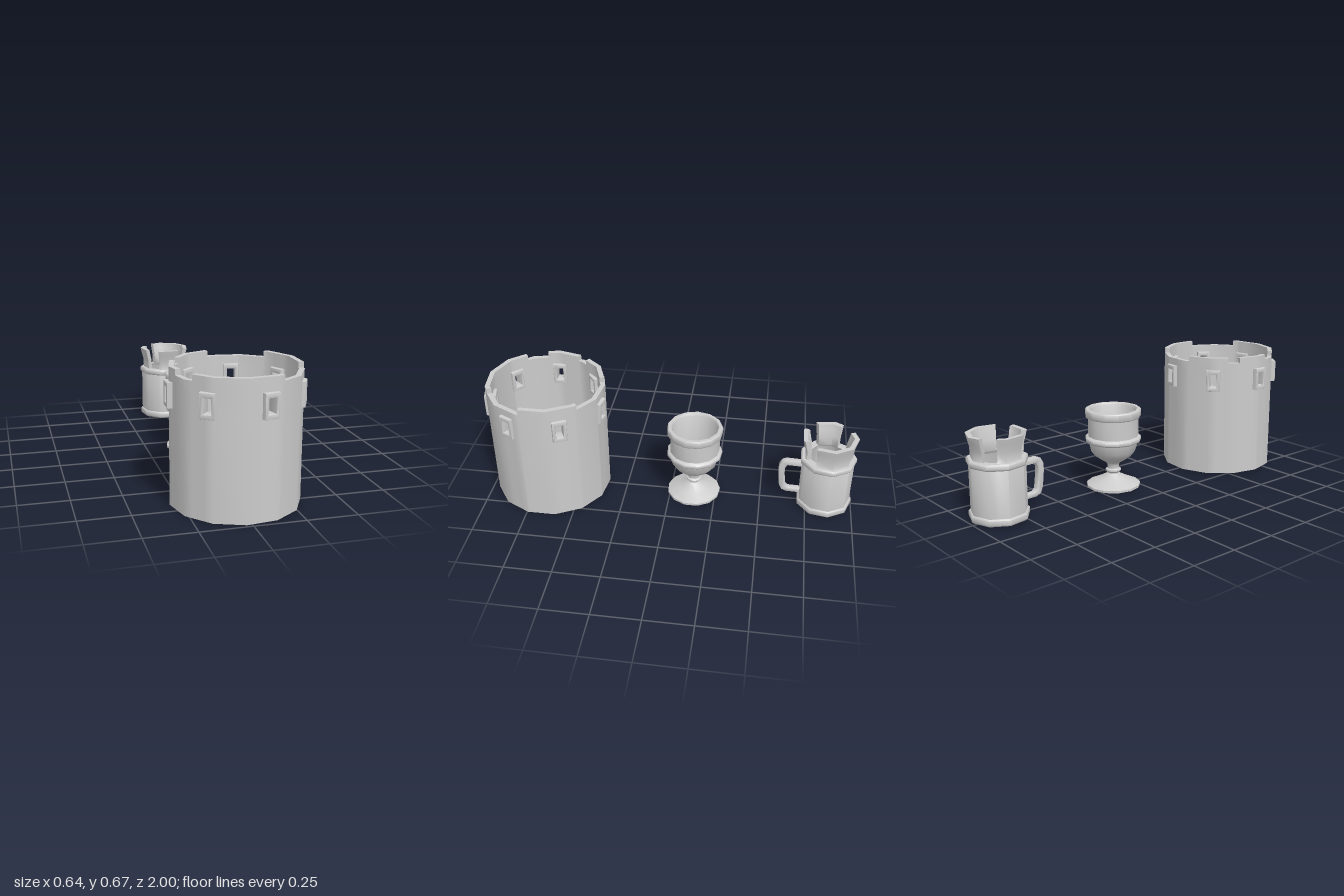
import * as THREE from 'three';
import { toCreasedNormals } from 'three/addons/utils/BufferGeometryUtils.js';

const material = new THREE.MeshStandardMaterial({ color: 0xcccccc, side: THREE.DoubleSide });
const RAD = Math.PI / 180;

function addMesh(parent, name, geometry, crease = 0.75) {
  const mesh = new THREE.Mesh(toCreasedNormals(geometry, crease), material);
  mesh.name = name;
  parent.add(mesh);
  return mesh;
}

// Angles run in degrees from +x towards +z.
const within = (deg, ranges) =>
  ranges.some(([a, b]) => (((deg - a) % 360) + 360) % 360 < b - a);

// Thick many-sided wall made of cells; cells that are not solid become openings.
function wallGeometry({ sides, start, cuts, heights, outer, thickness, solid }) {
  const step = 360 / sides;
  const all = [...cuts];
  for (let i = 0; i < sides; i++) all.push(start + i * step);
  const angles = all.map(a => ((a % 360) + 360) % 360).sort((a, b) => a - b)
    .filter((a, i, list) => i === 0 || a - list[i - 1] > 0.1);
  const n = angles.length;
  angles.push(angles[0] + 360);

  const point = (i, j, inset) => {
    const off = ((((angles[i] - start) % step) + step) % step) - step / 2;
    const r = (outer(heights[j]) - inset) * Math.cos(step / 2 * RAD) / Math.cos(off * RAD);
    return [r * Math.cos(angles[i] * RAD), heights[j], r * Math.sin(angles[i] * RAD)];
  };
  const filled = (i, j) => {
    if (j < 0 || j >= heights.length - 1) return false;
    const k = (i + n) % n;
    return solid((angles[k] + angles[k + 1]) / 2, (heights[j] + heights[j + 1]) / 2);
  };
  const positions = [];
  const quad = (a, b, c, d) => positions.push(...a, ...b, ...c, ...a, ...c, ...d);

  for (let i = 0; i < n; i++) {
    for (let j = 0; j < heights.length - 1; j++) {
      if (!filled(i, j)) continue;
      const [o00, o01, o11, o10] = [[0, 0], [0, 1], [1, 1], [1, 0]].map(([u, v]) => point(i + u, j + v, 0));
      const [i00, i01, i11, i10] = [[0, 0], [0, 1], [1, 1], [1, 0]].map(([u, v]) => point(i + u, j + v, thickness));
      quad(o00, o01, o11, o10);
      quad(i10, i11, i01, i00);
      if (!filled(i, j + 1)) quad(i01, i11, o11, o01);
      if (!filled(i, j - 1)) quad(o00, o10, i10, i00);
      if (!filled(i + 1, j)) quad(i10, o10, o11, i11);
      if (!filled(i - 1, j)) quad(i01, o01, o00, i00);
    }
  }
  const geometry = new THREE.BufferGeometry();
  geometry.setAttribute('position', new THREE.Float32BufferAttribute(positions, 3));
  return geometry;
}

function floorGeometry(radius, y0, y1, sides, start) {
  return new THREE.CylinderGeometry(radius, radius, y1 - y0, sides, 1, false, (90 - start) * RAD)
    .translate(0, (y0 + y1) / 2, 0);
}

function latheGeometry(profile, sides, start) {
  return new THREE.LatheGeometry(profile.map(p => new THREE.Vector2(...p)), sides, (90 - start) * RAD);
}

function rectangle(Type, w, h) {
  return new Type([[-w, -h], [w, -h], [w, h], [-w, h]].map(p => new THREE.Vector2(...p)));
}

function createTub() {
  const tub = new THREE.Group();
  tub.name = 'tub';
  const sides = 13, start = 180, radius = 0.316, thickness = 0.026;
  const raised = [[-45, 12], [64, 145], [168, 204], [216, 258]];
  const windows = Array.from({ length: 7 }, (_, i) => 180 + i * 360 / 7);
  const openings = windows.map(a => [a - 5, a + 5]);

  addMesh(tub, 'tubWall', wallGeometry({
    sides, start, thickness,
    cuts: [...raised, ...openings].flat(),
    heights: [0, 0.495, 0.58, 0.637, 0.665],
    outer: () => radius,
    solid: (a, y) => y > 0.637 ? within(a, raised) : !(y > 0.495 && y < 0.58 && within(a, openings)),
  }));
  addMesh(tub, 'tubFloor', floorGeometry(radius - thickness, 0, 0.03, sides, start));

  // Bevelled frames passing through the wall
  const bevel = 0.006;
  const shape = rectangle(THREE.Shape, 0.038 - bevel, 0.0595 - bevel);
  shape.holes.push(rectangle(THREE.Path, 0.019 + bevel, 0.036 + bevel));
  const frame = new THREE.ExtrudeGeometry(shape, {
    depth: 0.053, bevelSize: bevel, bevelThickness: bevel, bevelSegments: 2,
  }).translate(0, 0, 0.27);
  for (const a of windows) {
    const mesh = addMesh(tub, 'windowFrame', frame);
    mesh.position.set(-0.004, 0.538, 0);
    mesh.rotation.y = (90 - a) * RAD;
  }
  tub.position.set(0.011, 0, 0.67);
  return tub;
}

function createGoblet() {
  const goblet = new THREE.Group();
  goblet.name = 'goblet';
  // Foot, knotted stem, banded bowl, then down the inside
  addMesh(goblet, 'gobletBody', latheGeometry([
    [0, 0.008], [0.146, 0.008], [0.146, 0.02], [0.09, 0.045], [0.045, 0.068], [0.032, 0.08],
    [0.034, 0.086], [0.042, 0.092], [0.042, 0.1], [0.032, 0.107], [0.031, 0.125], [0.04, 0.14],
    [0.065, 0.155], [0.1, 0.18], [0.123, 0.21], [0.134, 0.255], [0.146, 0.26], [0.151, 0.266],
    [0.151, 0.28], [0.146, 0.286], [0.136, 0.291], [0.136, 0.39], [0.147, 0.394], [0.151, 0.4],
    [0.151, 0.431], [0.146, 0.437], [0.13, 0.437], [0.122, 0.425], [0.121, 0.27],
    [0.108, 0.22], [0.08, 0.19], [0.04, 0.175], [0, 0.17],
  ], 13, 180));
  goblet.position.set(0.007, 0, -0.13);
  return goblet;
}

function createMug() {
  const mug = new THREE.Group();
  mug.name = 'mug';
  const sides = 9, start = -90, thickness = 0.026;
  const raised = [[64, 116], [150, 210], [245, 390]];
  const profile = [[0.008, 0.142], [0.3, 0.142], [0.315, 0.13], [0.37, 0.133], [0.41, 0.144], [0.437, 0.15]];

  addMesh(mug, 'mugWall', wallGeometry({
    sides, start, thickness,
    cuts: raised.flat(),
    heights: profile.map(p => p[0]),
    outer: y => profile.find(p => p[0] === y)[1],
    solid: (a, y) => y < 0.315 || within(a, raised),
  }));
  addMesh(mug, 'mugFloor', floorGeometry(0.116, 0.008, 0.04, sides, start));

  // Rounded bands at the foot and below the rim
  for (const [name, y0, y1] of [['footBand', 0.008, 0.045], ['upperBand', 0.284, 0.317]]) {
    addMesh(mug, name, latheGeometry([
      [0.125, y0], [0.146, y0], [0.152, y0 + 0.007], [0.152, y1 - 0.007], [0.146, y1], [0.125, y1],
    ], sides, start));
  }

  // Handle drawn in the z-y plane
  const handle = new THREE.Shape([
    [0.13, 0.262], [0.215, 0.266], [0.236, 0.258], [0.249, 0.235], [0.252, 0.2], [0.243, 0.11],
    [0.23, 0.08], [0.205, 0.069], [0.13, 0.067], [0.13, 0.082], [0.2, 0.084], [0.217, 0.1],
    [0.226, 0.17], [0.227, 0.22], [0.212, 0.246], [0.13, 0.243],
  ].map(p => new THREE.Vector2(...p)));
  addMesh(mug, 'handle', new THREE.ExtrudeGeometry(handle, {
    depth: 0.024, bevelSize: 0.005, bevelThickness: 0.006, bevelSegments: 2,
  }).translate(0, 0, -0.012).rotateY(-Math.PI / 2));

  mug.position.set(0.005, 0, -0.847);
  return mug;
}

export function createModel() {
  const model = new THREE.Group();
  model.name = 'vesselSet';
  model.add(createTub(), createGoblet(), createMug());
  return model;
}
